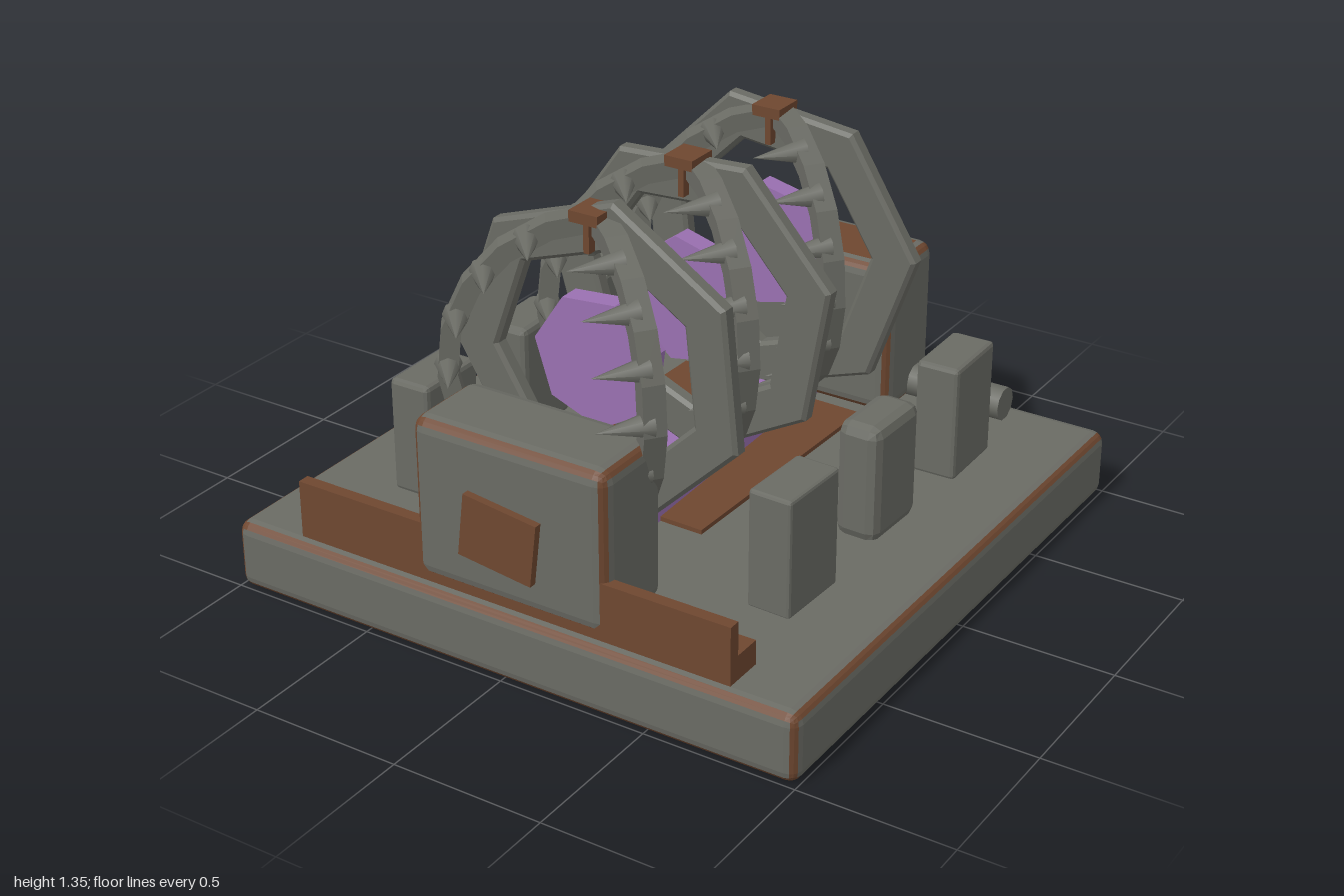
import * as THREE from 'three';
import { RoundedBoxGeometry } from 'three/addons/geometries/RoundedBoxGeometry.js';

const material = (name, color) => {
  const m = new THREE.MeshStandardMaterial({ color });
  m.name = name;
  return m;
};

export function createModel() {
  const model = new THREE.Group();
  const metal = material('grey metal', 0x6a6b64);
  const rust = material('rust', 0x6e4730);
  const purple = material('purple glow', 0x9a70b1);

  function add(name, geometry, mat, x, y, z, parent = model) {
    const mesh = new THREE.Mesh(geometry, mat);
    mesh.name = name;
    mesh.position.set(x, y, z);
    parent.add(mesh);
    return mesh;
  }

  const box = (w, h, d) => new THREE.BoxGeometry(w, h, d);

  // Flat-faceted chamfered box
  function chamferBox(w, h, d, r, segments = 1) {
    let g = new RoundedBoxGeometry(w, h, d, segments, r);
    if (g.index) g = g.toNonIndexed();
    g.clearGroups();
    g.computeVertexNormals();
    return g;
  }

  // Chamfered box with worn rusty edges; isRusty(normal) picks whole rusty faces
  function wornBox(name, w, h, d, r, isRusty, x, y, z) {
    const g = chamferBox(w, h, d, r, 2);
    const n = new THREE.Vector3();
    let start = 0, current = -1;
    const count = g.attributes.position.count;
    for (let i = 0; i < count; i += 3) {
      n.fromBufferAttribute(g.attributes.normal, i);
      const steep = Math.max(Math.abs(n.x), Math.abs(n.y), Math.abs(n.z));
      const index = steep < 0.9 || (steep > 0.99 && isRusty(n)) ? 1 : 0;
      if (index !== current) {
        if (current >= 0) g.addGroup(start, i - start, current);
        start = i;
        current = index;
      }
    }
    g.addGroup(start, count - start, current);
    return add(name, g, [metal, rust], x, y, z);
  }

  // Base slab and the two end housings
  wornBox('base', 2, 0.23, 2, 0.04, n => n.z < -0.9, 0, 0.115, 0);
  wornBox('frontHousing', 0.68, 0.53, 0.3, 0.045, () => false, 0.015, 0.505, 0.815);
  wornBox('backHousing', 0.68, 0.53, 0.3, 0.045, n => n.y > 0.9, 0.015, 0.505, -0.82);
  add('frontPlate', box(0.257, 0.207, 0.03), rust, -0.005, 0.467, 0.975).rotation.z = -0.12;
  add('backPlate', box(0.25, 0.22, 0.03), metal, 0.02, 0.53, -0.975).rotation.z = 0.04;

  // L-shaped front rail
  add('frontRail', box(1.53, 0.19, 0.04), rust, 0, 0.325, 0.94);
  add('frontRailLedge', box(1.53, 0.08, 0.1), rust, 0, 0.27, 0.875);

  // Rear pipe
  const pipe = new THREE.CylinderGeometry(0.057, 0.057, 1.39, 10);
  add('rearPipe', pipe, metal, -0.005, 0.295, -0.87).rotation.z = Math.PI / 2;

  // Floor mat and central channel
  add('floorMat', box(0.69, 0.02, 0.94), rust, -0.085, 0.235, -0.18).rotation.y = -0.022;
  add('channel', box(0.2, 0.115, 1.66), purple, -0.015, 0.2825, -0.15).rotation.y = 0.03;

  // Side posts: x, z, turn, chamfer
  for (const [x, z, turn, r] of [
    [-0.655, -0.55, -0.03, 0.012], [-0.64, -0.055, 0.03, 0.02], [-0.65, 0.435, 0.01, 0.016],
    [0.66, -0.55, 0.02, 0.014], [0.655, -0.06, -0.03, 0.035], [0.655, 0.44, -0.04, 0.01],
  ]) add('sidePost', chamferBox(0.146, 0.39, 0.26, r), metal, x, 0.418, z).rotation.y = turn;

  // Seven-sided ring
  const heptagon = radius => Array.from({ length: 7 }, (_, i) => {
    const a = i * Math.PI * 2 / 7;
    return new THREE.Vector2(radius * Math.cos(a), radius * Math.sin(a));
  });
  const ringShape = new THREE.Shape(heptagon(0.507));
  ringShape.holes.push(new THREE.Path(heptagon(0.375)));
  const ringGeometry = new THREE.ExtrudeGeometry(ringShape, {
    depth: 0.036, bevelEnabled: true, bevelSegments: 1, bevelSize: 0.012, bevelThickness: 0.012,
  }).translate(0, 0, -0.018);

  // Core disc
  const discGeometry = new THREE.CylinderGeometry(0.215, 0.215, 0.07, 7).rotateX(Math.PI / 2).toNonIndexed();
  discGeometry.computeVertexNormals();

  // Curved jaw: an arc band in its own plane
  const rad = THREE.MathUtils.degToRad;
  const jawPoints = [];
  const steps = 9;
  for (const [radius, back] of [[0.48, false], [0.42, true]]) {
    for (let i = 0; i <= steps; i++) {
      const a = rad(90 - 168 * (back ? steps - i : i) / steps);
      jawPoints.push(new THREE.Vector2(radius * Math.cos(a), radius * Math.sin(a)));
    }
  }
  const jawGeometry = new THREE.ExtrudeGeometry(new THREE.Shape(jawPoints), { depth: 0.07, bevelEnabled: false })
    .translate(0, 0, -0.035);
  const toothGeometry = new THREE.ConeGeometry(0.042, 0.17, 8).rotateX(Math.PI / 2).translate(0, 0, 0.085);

  // Three ring stations, each with a core and a pair of toothed jaws
  for (const [z, spin] of [[0.46, 83], [-0.04, 67.4], [-0.545, 109]]) {
    const station = new THREE.Group();
    station.name = 'ringStation';
    station.position.set(0, 0.83, z);
    model.add(station);
    add('ring', ringGeometry, metal, 0, 0, 0, station).rotation.z = rad(spin);
    add('core', discGeometry, purple, 0, 0, 0, station).rotation.z = rad(spin * 1.3);
    add('clip', box(0.1, 0.035, 0.11), rust, 0, 0.473, 0.025, station);
    add('clipStem', box(0.02, 0.1, 0.03), rust, 0, 0.41, 0.05, station);

    for (const side of [1, -1]) {
      const jaw = new THREE.Group();
      jaw.name = side > 0 ? 'leftJaw' : 'rightJaw';
      jaw.rotation.y = side > 0 ? -0.6435 : Math.PI + 0.6435;
      station.add(jaw);
      add('jawBand', jawGeometry, metal, 0, 0, 0, jaw);
      for (let i = -3; i <= 3; i++) {
        const a = rad(i * 20.7);
        const tooth = add('tooth', toothGeometry, metal, 0.447 * Math.cos(a), 0.447 * Math.sin(a), 0, jaw);
        if (side < 0) tooth.rotation.y = Math.PI;
      }
    }
  }
  return model;
}
